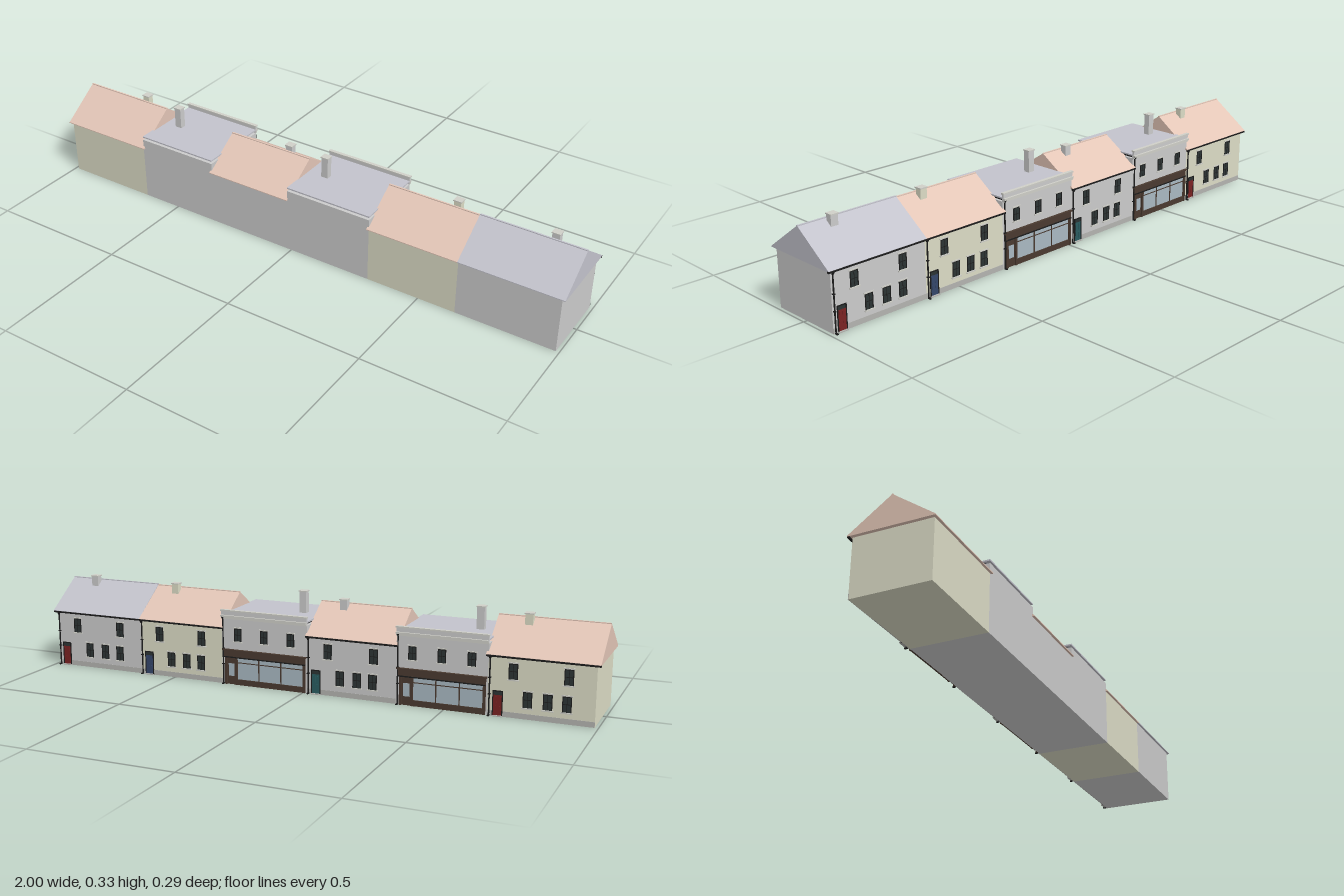
import * as THREE from 'three';

const C = {
  pinkRoof: 0xe3c6b7, greyRoof: 0xc3c3cc, cream: 0xdcdcc6, stone: 0xdbdbd7, trim: 0xcfcfc8,
  plinth: 0xb4b4b0, black: 0x1c1c1c, glass: 0x2c3434, shopGlass: 0xa9b9c2, timber: 0x4a3a30,
  red: 0x7a2222, blue: 0x34466a, teal: 0x2a5c60,
};
const mats = {};
const mat = (c) => (mats[c] ??= new THREE.MeshStandardMaterial({ color: c, flatShading: true }));
const WALL = -0.132; // street face of the walls, looking along -z
const FRONT = 0.135; // plain face of the walls

function add(parent, name, geo, color) {
  const m = new THREE.Mesh(geo, mat(color));
  m.name = name;
  parent.add(m);
  return m;
}

// Box given by its limits
function box(parent, name, color, x0, x1, y0, y1, z0, z1) {
  const m = add(parent, name, new THREE.BoxGeometry(Math.abs(x1 - x0), y1 - y0, Math.abs(z1 - z0)), color);
  m.position.set((x0 + x1) / 2, (y0 + y1) / 2, (z0 + z1) / 2);
  return m;
}

// Box standing out of the street face by depth d, centred on x
const onFace = (p, name, color, x, w, y0, y1, d) =>
  box(p, name, color, x - w / 2, x + w / 2, y0, y1, WALL + 0.002, WALL - d);

// Sash window with surround, glazing bars and sill
function windowUnit(parent, x, y, w = 0.03, h = 0.052) {
  const g = new THREE.Group();
  g.name = 'window';
  const b = 0.003, y0 = y - h / 2, y1 = y + h / 2;
  onFace(g, 'pane', C.glass, x, w, y0, y1, 0.0008);
  for (const s of [-1, 1]) onFace(g, 'windowFrame', C.black, x + s * (w / 2 - b / 2), b, y0, y1, 0.002);
  onFace(g, 'windowHead', C.black, x, w, y1 - b, y1, 0.002);
  onFace(g, 'meetingRail', C.black, x, w, y - 0.001, y + 0.001, 0.0018);
  onFace(g, 'glazingBar', C.black, x, 0.0015, y0, y1, 0.0015);
  onFace(g, 'sill', C.trim, x, w + 0.008, y0 - 0.004, y0, 0.005);
  onFace(g, 'lintel', C.trim, x, w + 0.006, y1, y1 + 0.004, 0.0025);
  parent.add(g);
}

function door(parent, x, color, w = 0.028, h = 0.07) {
  const g = new THREE.Group();
  g.name = 'door';
  onFace(g, 'doorLeaf', color, x, w, 0.003, h, 0.0015);
  onFace(g, 'fanlight', C.glass, x, w, h, h + 0.012, 0.0012);
  for (const s of [-1, 1]) {
    onFace(g, 'doorPost', C.black, x + s * (w / 2 + 0.0015), 0.003, 0, h + 0.014, 0.003);
    for (const y of [0.012, 0.042]) onFace(g, 'doorPanel', color, x + s * w * 0.22, w * 0.3, y, y + 0.022, 0.0025);
  }
  onFace(g, 'doorHead', C.black, x, w + 0.006, h + 0.012, h + 0.015, 0.003);
  onFace(g, 'doorstep', C.plinth, x, w + 0.006, 0, 0.003, 0.008);
  parent.add(g);
}

function chimney(parent, x, z, y0, top, color) {
  const g = new THREE.Group();
  g.name = 'chimney';
  box(g, 'chimneyStack', color, x - 0.013, x + 0.013, y0, top - 0.004, z - 0.011, z + 0.011);
  box(g, 'chimneyCap', C.trim, x - 0.015, x + 0.015, top - 0.004, top, z - 0.0135, z + 0.0135);
  parent.add(g);
}

// Downpipe with hopper and shoe
function downpipe(parent, x, top) {
  const g = new THREE.Group();
  g.name = 'downpipe';
  const pipe = add(g, 'pipe', new THREE.CylinderGeometry(0.0025, 0.0025, top, 8), C.black);
  pipe.position.set(x, top / 2, -0.1365);
  const hopper = add(g, 'hopper', new THREE.CylinderGeometry(0.0075, 0.003, 0.01, 4, 1, false, Math.PI / 4), C.black);
  hopper.position.set(x, top, -0.1375);
  box(g, 'pipeShoe', C.black, x - 0.003, x + 0.003, 0, 0.004, -0.135, -0.146);
  for (const y of [0.07, 0.125]) box(g, 'bracket', C.black, x - 0.004, x + 0.004, y, y + 0.003, WALL, -0.14);
  parent.add(g);
}

// Solid gabled roof with small eaves
function gableRoof(parent, x0, x1, ridge, color) {
  const s = new THREE.Shape([[-0.143, 0.2], [0.143, 0.2], [0.143, 0.203], [0, ridge], [-0.143, 0.203]]
    .map(([a, b]) => new THREE.Vector2(a, b)));
  const geo = new THREE.ExtrudeGeometry(s, { depth: x1 - x0, bevelEnabled: false });
  geo.rotateY(Math.PI / 2).translate(x0, 0, 0);
  add(parent, 'gableRoof', geo, color);
}

// Two-storey house; offsets are measured from its +x end
function house({ x0, x1, r0, r1, ridge, wall, roof, doorColor, chimneyX }) {
  const g = new THREE.Group();
  g.name = 'house';
  box(g, 'walls', wall, x0, x1, 0, 0.2, WALL, FRONT);
  box(g, 'plinth', C.plinth, x0, x1, 0, 0.018, WALL + 0.002, WALL - 0.001);
  gableRoof(g, r0, r1, ridge, roof);
  box(g, 'ridgeCap', roof, r0, r1, ridge - 0.002, ridge + 0.001, -0.003, 0.003);
  box(g, 'gutter', C.black, r0, r1, 0.196, 0.202, -0.136, -0.1435);
  const k = (x1 - x0) / 0.34;
  for (const o of [0.08, 0.255]) windowUnit(g, x1 - o * k, 0.152);
  for (const o of [0.128, 0.192, 0.252]) windowUnit(g, x1 - o * k, 0.064);
  door(g, x1 - 0.033, doorColor);
  downpipe(g, x1 - 0.006, 0.193);
  chimney(g, chimneyX, -0.02, ridge - 0.035, ridge + 0.017, wall);
  return g;
}

// Flat-roofed shop with parapet and shopfront
function shop({ x0, x1, chimneyX }) {
  const g = new THREE.Group();
  g.name = 'shop';
  const mid = (x0 + x1) / 2, w = x1 - x0;
  box(g, 'walls', C.stone, x0, x1, 0, 0.235, WALL, FRONT);
  box(g, 'flatRoof', C.greyRoof, x0, x1, 0.244, 0.249, -0.13, FRONT);
  box(g, 'roofCore', C.black, x0 + 0.01, x1 - 0.01, 0.235, 0.244, -0.13, 0.115);
  box(g, 'parapet', C.stone, x0, x1, 0.235, 0.26, -0.129, -0.136);
  box(g, 'coping', C.trim, x0 - 0.002, x1 + 0.002, 0.26, 0.265, -0.1275, -0.14);
  box(g, 'cornice', C.trim, x0, x1, 0.24, 0.246, WALL, -0.143);
  box(g, 'corniceMoulding', C.trim, x0, x1, 0.234, 0.24, WALL, -0.139);
  for (const o of [-0.1, 0, 0.1]) windowUnit(g, mid + o, 0.178, 0.028, 0.046);

  // Shopfront
  onFace(g, 'fascia', C.timber, mid, w - 0.012, 0.1, 0.121, 0.005);
  onFace(g, 'fasciaCornice', C.timber, mid, w - 0.006, 0.121, 0.126, 0.01);
  onFace(g, 'fasciaRail', C.black, mid, w - 0.012, 0.096, 0.1, 0.007);
  const a = x1 - 0.058, b = x0 + 0.014; // limits of the display window
  box(g, 'displayWindow', C.shopGlass, b, a, 0.02, 0.096, WALL + 0.002, WALL - 0.001);
  box(g, 'stallRiser', C.timber, b, a, 0, 0.02, WALL + 0.002, WALL - 0.004);
  for (let i = 0; i <= 3; i++) onFace(g, 'mullion', C.timber, b + (a - b) * i / 3, 0.004, 0.02, 0.096, 0.003);
  onFace(g, 'transom', C.timber, (a + b) / 2, a - b, 0.078, 0.081, 0.0025);
  for (const x of [x0 + 0.01, x1 - 0.016, x1 - 0.056]) onFace(g, 'pilaster', C.timber, x, 0.008, 0, 0.1, 0.006);
  onFace(g, 'shopDoor', C.timber, x1 - 0.036, 0.032, 0, 0.096, 0.001);
  onFace(g, 'shopDoorGlass', C.shopGlass, x1 - 0.036, 0.022, 0.03, 0.075, 0.002);
  downpipe(g, x1 - 0.006, 0.238);
  chimney(g, chimneyX, 0, 0.235, 0.327, C.stone);
  return g;
}

export function createModel() {
  const terrace = new THREE.Group();
  terrace.name = 'terrace';
  terrace.add(
    house({ x0: -0.988, x1: -0.645, r0: -1, r1: -0.638, ridge: 0.305, wall: C.cream, roof: C.pinkRoof, doorColor: C.red, chimneyX: -0.745 }),
    shop({ x0: -0.645, x1: -0.335, chimneyX: -0.58 }),
    house({ x0: -0.335, x1: -0.015, r0: -0.34, r1: -0.012, ridge: 0.297, wall: C.stone, roof: C.pinkRoof, doorColor: C.teal, chimneyX: -0.105 }),
    shop({ x0: -0.015, x1: 0.308, chimneyX: 0.055 }),
    house({ x0: 0.308, x1: 0.636, r0: 0.303, r1: 0.636, ridge: 0.302, wall: C.cream, roof: C.pinkRoof, doorColor: C.blue, chimneyX: 0.55 }),
    house({ x0: 0.636, x1: 0.988, r0: 0.636, r1: 1, ridge: 0.305, wall: C.stone, roof: C.greyRoof, doorColor: C.red, chimneyX: 0.89 }),
  );
  return terrace;
}
